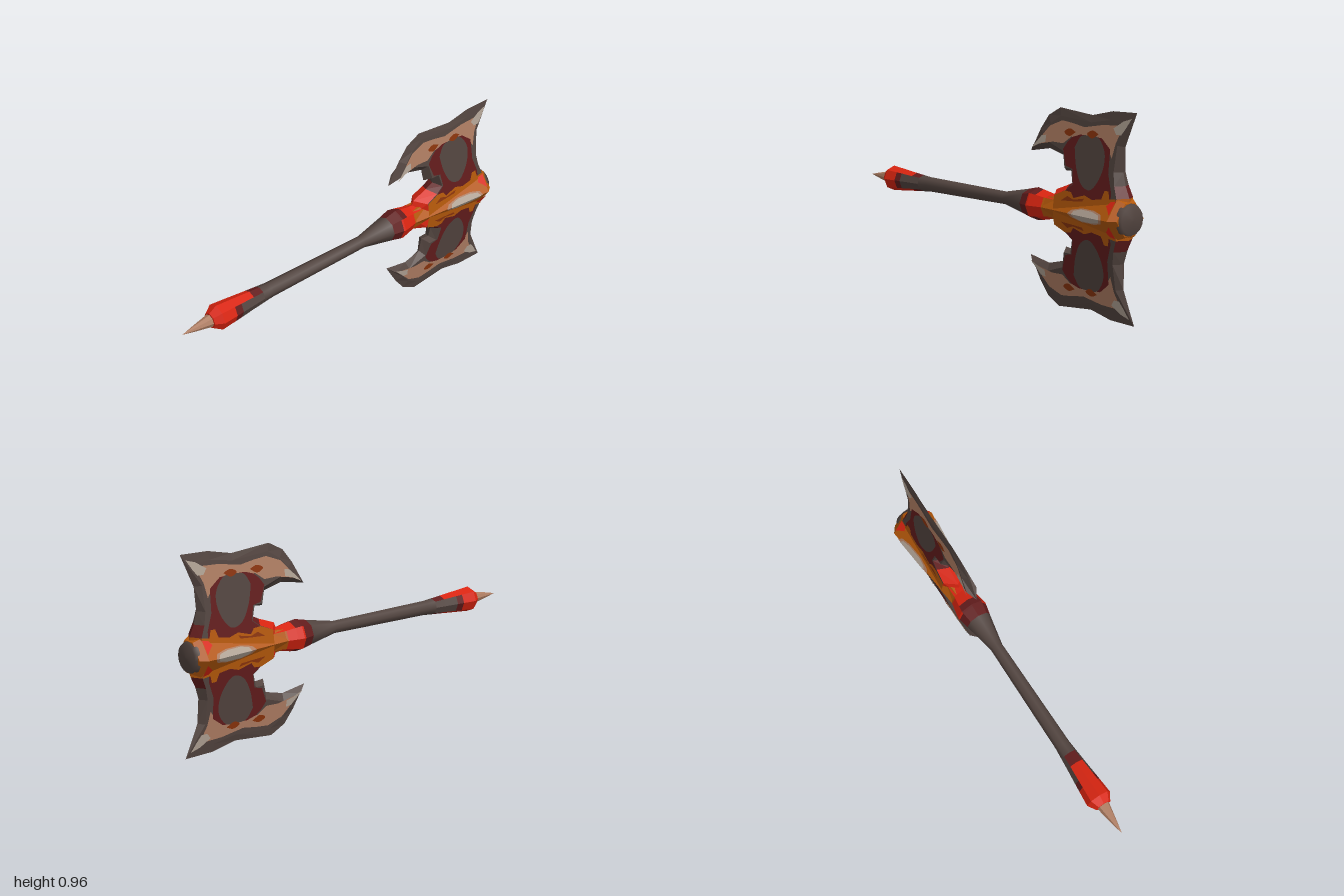
import * as THREE from 'three';

const mat = (name, color) => {
  const m = new THREE.MeshStandardMaterial({ color });
  m.name = name;
  return m;
};

export function createModel() {
  const dark = mat('dark iron', 0x52443f);
  const orange = mat('orange', 0xb4580a);
  const red = mat('red', 0xd82410);
  const maroon = mat('maroon', 0x621c1c);
  const tan = mat('tan', 0xae7d62);
  const pale = mat('pale grey', 0xb0a294);
  const rust = mat('rust', 0x8a340c);

  const axe = new THREE.Group();
  axe.name = 'doubleAxe';
  axe.position.y = 0.4825; // everything is built around the handle axis
  const add = (name, geo, material) => {
    const m = new THREE.Mesh(geo, material);
    m.name = name;
    axe.add(m);
    return m;
  };
  const faceted = (g) => {
    const flat = g.toNonIndexed();
    flat.computeVertexNormals();
    return flat;
  };

  // Turned part along x; profile is a list of [x, radius]
  const turned = (name, profile, material, sides = 8, flat = false, start = 0, length = Math.PI * 2) => {
    const pts = profile.map(([x, r]) => new THREE.Vector2(r, x));
    const g = new THREE.LatheGeometry(pts, sides, start, length).rotateZ(-Math.PI / 2);
    add(name, flat ? faceted(g) : g, material);
  };
  // Same, in quarters: one colour in front and back, another above and below
  const quartered = (name, profile, frontMat, topMat) => {
    for (let i = 0; i < 4; i++) {
      turned(name, profile, i % 2 ? topMat : frontMat, 2, true, -Math.PI / 4 + i * Math.PI / 2, Math.PI / 2);
    }
  };

  // Handle, from the spike to the neck
  turned('spike', [[-1, 0], [-0.935, 0.014], [-0.83, 0.034]], tan, 8, true);
  turned('pommel', [[-0.84, 0], [-0.84, 0.04], [-0.8, 0.066], [-0.72, 0.059]], red, 8, true);
  quartered('pommelPatch', [[-0.72, 0.059], [-0.68, 0.0555]], maroon, red);
  quartered('pommelStreak', [[-0.68, 0.0555], [-0.6, 0.048]], dark, red);
  quartered('pommelFade', [[-0.6, 0.048], [-0.54, 0.043]], dark, maroon);
  turned('grip', [[-0.54, 0.043], [-0.48, 0.038], [0.12, 0.032], [0.29, 0.0655]], dark);
  turned('collar', [[0.29, 0.0655], [0.345, 0.078]], maroon, 8, true);
  quartered('collarPatch', [[0.345, 0.078], [0.355, 0.08], [0.39, 0.074]], red, maroon);
  turned('neck', [[0.39, 0.074], [0.44, 0.064]], red, 8, true);
  quartered('neckRoot', [[0.44, 0.064], [0.45, 0.062], [0.52, 0.06]], orange, red);

  // Height rules of the painted surfaces, d = distance from the axis
  const SLOPE = 0.7;
  const bladeZ = (x, d) => 0.066 - 0.135 * d;
  const hubZ = (x, d) => 0.065 + (x - 0.45) * 0.098 - SLOPE * d;

  // Hub: six-sided sections [x, ridge height, half height of the flat top]
  const hubPos = [], hubIdx = [];
  [[0.4, 0.045, 0.04], [0.45, 0.065, 0.05], [0.93, 0.112, 0.092], [0.966, 0.086, 0.076],
    [0.97, 0.05, 0.04]].forEach(([x, r, h], k) => {
    const t = r - SLOPE * h;
    for (const [y, z] of [[0, r], [h, t], [h, -t], [0, -r], [-h, -t], [-h, t]]) hubPos.push(x, y, z);
    for (let j = 0; k > 0 && j < 6; j++) {
      const a = (k - 1) * 6 + j, b = (k - 1) * 6 + (j + 1) % 6;
      hubIdx.push(a, a + 6, b, b, a + 6, b + 6);
    }
  });
  const hubGeo = new THREE.BufferGeometry();
  hubGeo.setAttribute('position', new THREE.Float32BufferAttribute(hubPos, 3));
  hubGeo.setIndex(hubIdx);
  add('hub', faceted(hubGeo), orange);
  turned('endCap', [[0.935, 0.079], [0.957, 0.08], [0.98, 0.068], [0.984, 0]], dark, 16);

  const reverse = (g) => {
    const a = g.index.array;
    for (let i = 0; i < a.length; i += 3) [a[i], a[i + 1]] = [a[i + 1], a[i]];
  };
  // Repeat a geometry above and below the axis, on front and back
  const mirrored = (name, make, material) => {
    for (const sy of [1, -1]) for (const sz of [1, -1]) {
      const g = make();
      g.scale(1, sy, sz);
      if (sy * sz < 0) reverse(g);
      add(name, faceted(g), material);
    }
  };
  // Thin face laid on a surface; a round one is smoothed with a spline
  const plate = (name, poly, zRule, lift, material, round = false) => mirrored(name, () => {
    let pts = poly.map(([x, d]) => new THREE.Vector2(x, d));
    if (round) pts = new THREE.SplineCurve([...pts, pts[0]]).getPoints(poly.length * 4).slice(0, -1);
    const g = new THREE.ShapeGeometry(new THREE.Shape(pts));
    const p = g.attributes.position;
    for (let i = 0; i < p.count; i++) p.setZ(i, zRule(p.getX(i), p.getY(i)) + lift);
    return g;
  }, material);

  // Blade: sharp outer edge and the inner outline where the bevel begins
  const edge = [[0.965, 0], [0.96, 0.095], [0.935, 0.15], [0.92, 0.21], [0.93, 0.325], [1, 0.4825],
    [0.85, 0.48], [0.72, 0.453], [0.505, 0.473], [0.425, 0.432], [0.37, 0.365], [0.3, 0.252],
    [0.435, 0.275], [0.535, 0.25], [0.55, 0.18], [0.6, 0.185], [0.615, 0.14], [0.57, 0.118],
    [0.48, 0.085], [0.45, 0]];
  const inner = [[0.93, 0], [0.93, 0.095], [0.908, 0.15], [0.895, 0.21], [0.9, 0.33], [0.945, 0.425],
    [0.845, 0.44], [0.72, 0.42], [0.515, 0.435], [0.45, 0.395], [0.405, 0.345], [0.345, 0.285],
    [0.445, 0.31], [0.555, 0.275], [0.575, 0.2], [0.62, 0.2], [0.64, 0.13], [0.6, 0.1],
    [0.53, 0.07], [0.56, 0]];
  plate('bladeFace', inner, bladeZ, 0, dark);

  const bevelPaint = { 0: 1, 1: 2, 16: 2, 17: 3, 18: 3 };
  mirrored('bladeBevel', () => {
    const pos = [], idx = [], g = new THREE.BufferGeometry();
    edge.forEach(([x, d], i) => {
      const [u, v] = inner[i];
      pos.push(x, d, 0, u, v, bladeZ(u, v));
      if (i < edge.length - 1) {
        const k = i * 2;
        idx.push(k, k + 2, k + 1, k + 1, k + 2, k + 3);
        g.addGroup(i * 6, 6, bevelPaint[i] || 0);
      }
    });
    g.setAttribute('position', new THREE.Float32BufferAttribute(pos, 3));
    g.setIndex(idx);
    return g;
  }, [dark, orange, maroon, red]);

  // Paint on the blades
  plate('tanBand', [[0.365, 0.29], [0.41, 0.345], [0.45, 0.385], [0.53, 0.415], [0.6, 0.408], [0.68, 0.395],
    [0.8, 0.415], [0.93, 0.42], [0.89, 0.34], [0.875, 0.27], [0.84, 0.32], [0.75, 0.345], [0.6, 0.345],
    [0.55, 0.31], [0.48, 0.312]], bladeZ, 0.001, tan);
  plate('maroonField', [[0.555, 0.285], [0.58, 0.32], [0.61, 0.345], [0.66, 0.36], [0.8, 0.355], [0.86, 0.31],
    [0.865, 0.2], [0.895, 0.12], [0.9, 0.04], [0.6, 0.04], [0.605, 0.1], [0.645, 0.13], [0.63, 0.2],
    [0.585, 0.21]], bladeZ, 0.002, maroon);
  plate('darkCentre', [[0.632, 0.3], [0.665, 0.352], [0.72, 0.36], [0.785, 0.352], [0.832, 0.28],
    [0.82, 0.19], [0.765, 0.118], [0.7, 0.135], [0.655, 0.21]], bladeZ, 0.003, dark, true);
  plate('orangeRoot', [[0.53, 0], [0.93, 0], [0.93, 0.095], [0.89, 0.09], [0.88, 0.125], [0.855, 0.125],
    [0.84, 0.085], [0.78, 0.075], [0.73, 0.09], [0.66, 0.07], [0.64, 0.095], [0.6, 0.098], [0.53, 0.07]],
  bladeZ, 0.004, orange);
  plate('rustStreak', [[0.58, 0.05], [0.66, 0.055], [0.72, 0.06], [0.73, 0.075], [0.66, 0.062], [0.62, 0.075]],
    bladeZ, 0.005, rust);
  plate('paleTip', [[0.868, 0.405], [0.888, 0.378], [0.92, 0.378], [0.945, 0.41], [0.975, 0.455],
    [0.925, 0.44]], bladeZ, 0.003, pale);
  plate('paleHorn', [[0.338, 0.272], [0.39, 0.296], [0.43, 0.307], [0.432, 0.34], [0.4, 0.335]],
    bladeZ, 0.003, pale);
  for (const [x, d] of [[0.59, 0.365], [0.74, 0.367]]) {
    plate('rustSpot', [[x + 0.04, d + 0.004], [x, d + 0.018], [x - 0.035, d], [x, d - 0.018]],
      bladeZ, 0.005, rust, true);
  }

  // Paint on the hub
  plate('ridgeBorder', [[0.645, 0], [0.89, 0], [0.875, 0.021], [0.82, 0.032], [0.73, 0.032], [0.665, 0.018]],
    hubZ, 0.003, tan);
  plate('ridgeStripe', [[0.675, 0], [0.875, 0], [0.86, 0.018], [0.81, 0.027], [0.73, 0.027], [0.685, 0.016]],
    hubZ, 0.005, pale);
  plate('hubRedPatch', [[0.885, 0.06], [0.905, 0.045], [0.93, 0.025], [0.932, 0.088], [0.9, 0.08]],
    hubZ, 0.006, red);

  return axe;
}
